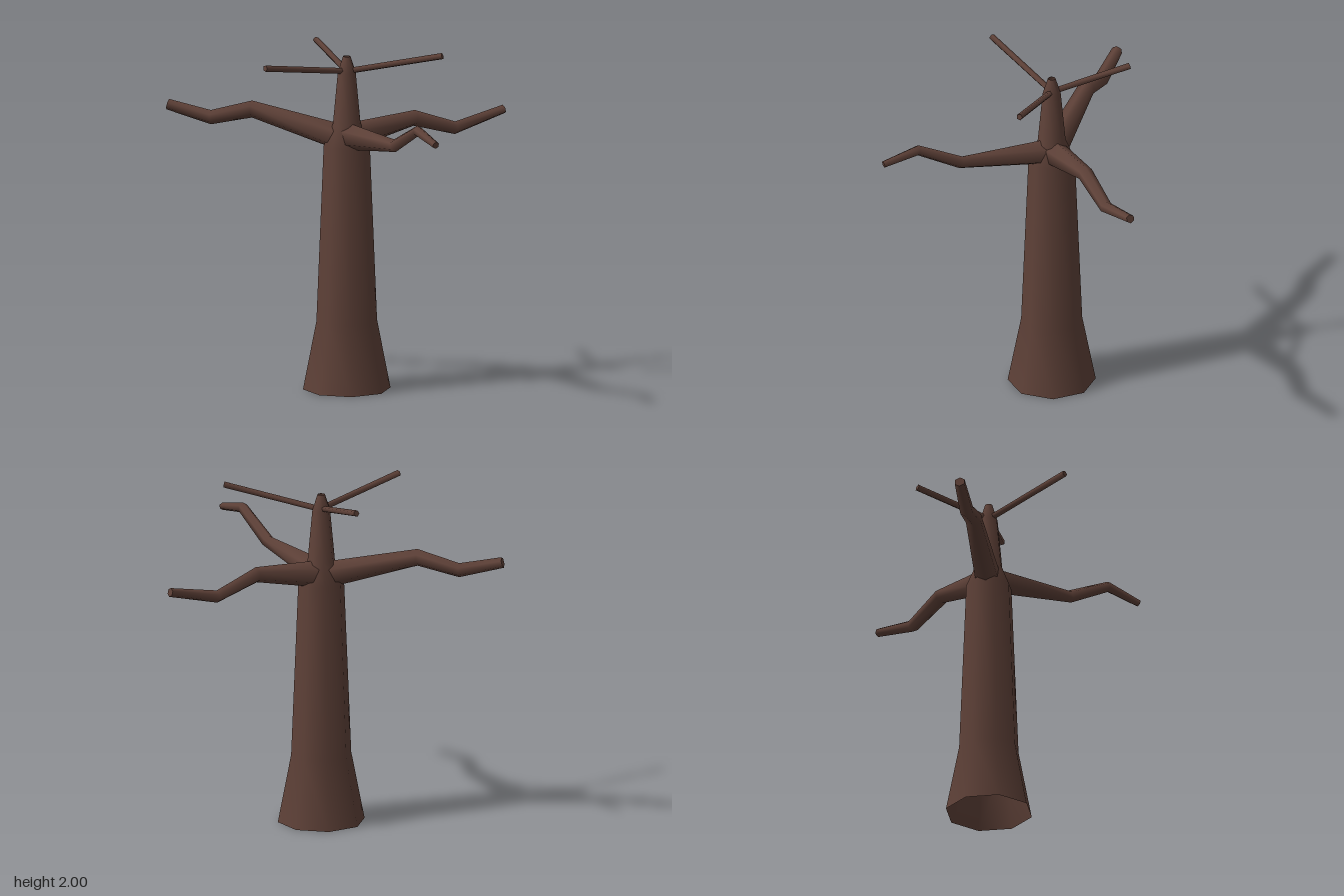
import * as THREE from 'three';

const AXIS = new THREE.Vector3(-0.197, 0, 0.005);

// Smooth tube through points [x, y, z, radius], mitred at each bend, with a flat cap on the tip
function limbGeometry(points, sides) {
  const centres = points.map(p => new THREE.Vector3(p[0], p[1], p[2]));
  const last = centres.length - 1;
  const pos = [], index = [];
  const up = new THREE.Vector3(0, 1, 0);
  centres.forEach((c, i) => {
    const into = c.clone().sub(centres[Math.max(i - 1, 0)]).normalize();
    const out = centres[Math.min(i + 1, last)].clone().sub(c).normalize();
    const dir = into.add(out).normalize();
    const side = dir.clone().cross(up).normalize();
    const rise = side.clone().cross(dir);
    for (let k = 0; k < sides; k++) {
      const a = (k / sides) * Math.PI * 2 + Math.PI / sides;
      const p = c.clone()
        .addScaledVector(side, Math.cos(a) * points[i][3])
        .addScaledVector(rise, Math.sin(a) * points[i][3]);
      pos.push(p.x, p.y, p.z);
    }
  });
  for (let i = 0; i < last; i++) {
    for (let k = 0; k < sides; k++) {
      const a = i * sides + k, b = i * sides + (k + 1) % sides;
      index.push(a, a + sides, b, b, a + sides, b + sides);
    }
  }
  // tip cap uses its own corners so the edge stays sharp
  const ring = pos.slice(last * sides * 3);
  const start = pos.length / 3;
  pos.push(...ring);
  for (let k = 1; k < sides - 1; k++) index.push(start, start + k + 1, start + k);
  // wind every face outward
  for (let i = 0; i < index.length; i += 3) {
    const [p, q, r] = [0, 1, 2].map(j => new THREE.Vector3().fromArray(pos, index[i + j] * 3));
    const n = q.clone().sub(p).cross(r.clone().sub(p));
    const mid = p.clone().add(q).add(r).divideScalar(3);
    const seg = index[i] >= start ? last - 1 : Math.min(Math.floor(index[i] / sides), last - 1);
    const core = centres[seg].clone().add(centres[seg + 1]).multiplyScalar(0.5);
    if (n.dot(mid.sub(core)) < 0) [index[i + 1], index[i + 2]] = [index[i + 2], index[i + 1]];
  }
  const g = new THREE.BufferGeometry();
  g.setAttribute('position', new THREE.Float32BufferAttribute(pos, 3));
  g.setIndex(index);
  g.computeVertexNormals();
  return g;
}

export function createModel() {
  const bark = new THREE.MeshStandardMaterial({ color: 0x5d4037, side: THREE.DoubleSide });
  bark.name = 'bark';
  const model = new THREE.Group();
  model.name = 'bareTree';

  function add(name, geometry) {
    const mesh = new THREE.Mesh(geometry, bark);
    mesh.name = name;
    model.add(mesh);
    return mesh;
  }

  // Hollow eight-sided trunk, flared at the foot and narrowing above the branches
  const profile = [[0.254, 0], [0.176, 0.4], [0.134, 1.43], [0.08, 1.56], [0.052, 1.86], [0.022, 1.955]];
  const trunk = add('trunk', new THREE.LatheGeometry(profile.map(p => new THREE.Vector2(...p)), 8));
  trunk.position.copy(AXIS);

  // Three large crooked branches: tip [x, z], then bends as [fraction outward, y, radius]
  const branches = {
    leftBranch: [[0.78, 0.385], [[0.04, 1.485, 0.078], [0.43, 1.545, 0.046], [0.69, 1.458, 0.037], [1, 1.535, 0.026]]],
    backBranch: [[-0.607, -0.985], [[0.03, 1.475, 0.078], [0.53, 1.612, 0.05], [0.76, 1.55, 0.042], [1, 1.612, 0.032]]],
    frontBranch: [[-0.607, 0.985], [[0.03, 1.488, 0.078], [0.54, 1.532, 0.037], [0.795, 1.668, 0.031], [1, 1.622, 0.021]]],
  };
  // Three thin straight twigs at the crown
  const twigs = {
    rightTwig: [[-0.79, -0.125], [[0.04, 1.872, 0.018], [1, 1.962, 0.019]]],
    backTwig: [[0.035, -0.405], [[0.05, 1.872, 0.018], [1, 1.962, 0.019]]],
    frontTwig: [[0.035, 0.525], [[0.05, 1.872, 0.018], [1, 1.984, 0.019]]],
  };
  const build = (set, sides) => {
    for (const [name, [[x, z], bends]] of Object.entries(set)) {
      const points = bends.map(([t, y, r]) => [AXIS.x + (x - AXIS.x) * t, y, AXIS.z + (z - AXIS.z) * t, r]);
      add(name, limbGeometry(points, sides));
    }
  };
  build(branches, 6);
  build(twigs, 5);
  return model;
}
